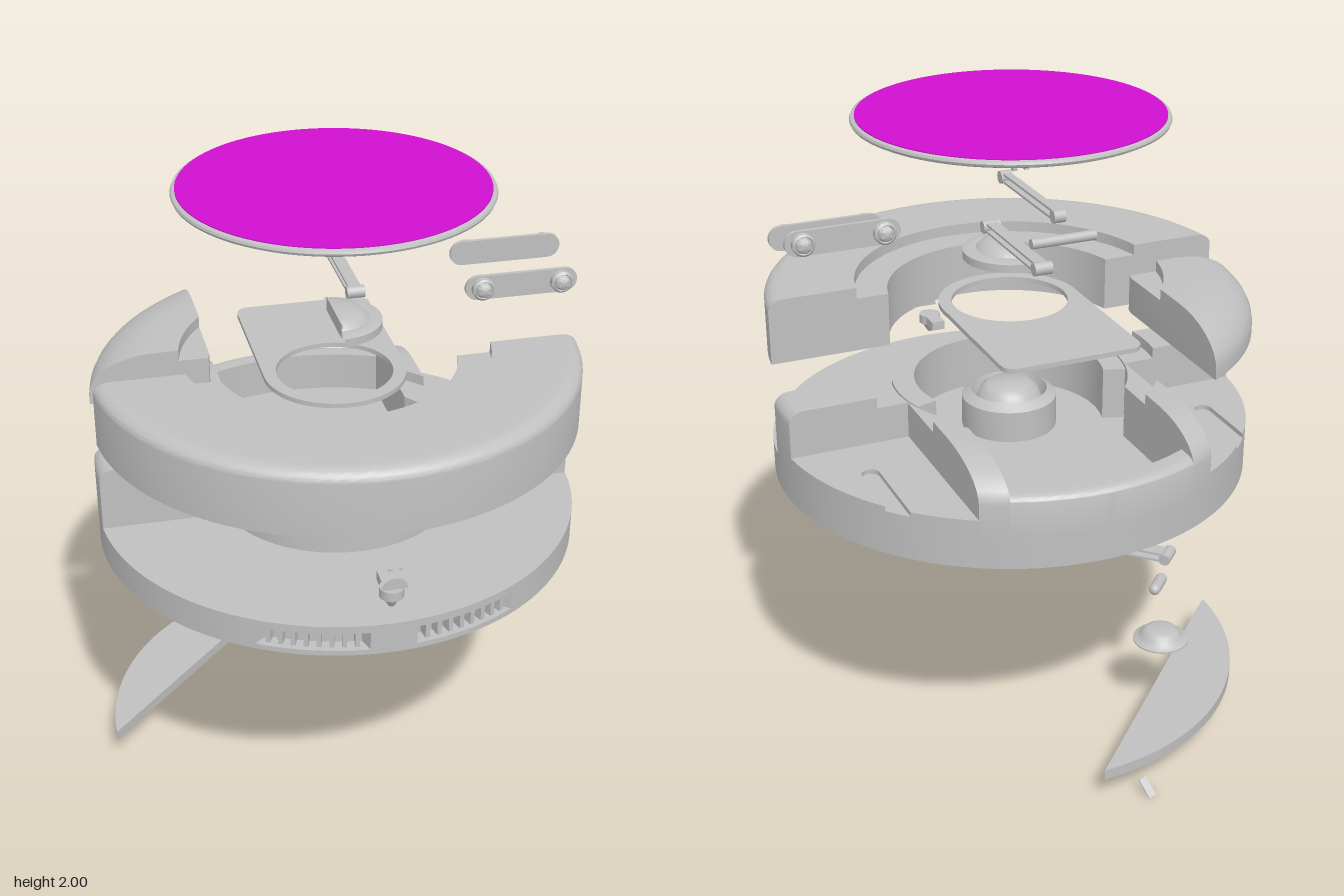
import * as THREE from 'three';
import { toCreasedNormals } from 'three/addons/utils/BufferGeometryUtils.js';

const grey = new THREE.MeshStandardMaterial({ color: 0xc0c0c0 });
grey.name = 'light grey';
const magenta = new THREE.MeshStandardMaterial({ color: 0xd010d0 });
magenta.name = 'magenta';

const { PI, acos, asin, sin, cos } = Math;

function add(parent, name, geo, x = 0, y = 0, z = 0, mat = grey) {
  const m = new THREE.Mesh(geo, mat);
  m.name = name;
  m.position.set(x, y, z);
  parent.add(m);
  return m;
}

// Closed profile [r, y] swept around y; the end angles depend on r, so ends can be flat cuts
function sector(profile, a0, a1, steps = 64) {
  const n = profile.length, pos = [], idx = [];
  for (let i = 0; i <= steps; i++) for (const [r, y] of profile) {
    const t = a0(r) + (a1(r) - a0(r)) * i / steps;
    pos.push(r * sin(t), y, r * cos(t));
  }
  for (let i = 0; i < steps; i++) for (let j = 0; j < n; j++) {
    const k = (j + 1) % n, a = i * n + j, b = i * n + k, d = a + n, c = b + n;
    idx.push(a, d, c, a, c, b);
  }
  const caps = THREE.ShapeUtils.triangulateShape(profile.map(p => new THREE.Vector2(...p)), []);
  const e = steps * n;
  for (const [a, b, c] of caps) idx.push(a, b, c, e + a, e + c, e + b);
  const g = new THREE.BufferGeometry();
  g.setAttribute('position', new THREE.Float32BufferAttribute(pos, 3));
  g.setIndex(idx);
  return toCreasedNormals(g, 0.5);
}

// Housing section with a rounded outer shoulder and a stepped inner seat for the disc
function shell(y0, top, rx, ry, inner = 0.375) {
  const p = [[inner, y0], [0.75, y0]];
  for (let i = 0; i <= 8; i++) {
    const t = i / 8 * PI / 2;
    p.push([0.75 - rx + rx * cos(t), top - ry + ry * sin(t)]);
  }
  if (inner < 0.475) p.push([0.475, top], [0.475, top - 0.035]);
  p.push([inner, inner < 0.475 ? top - 0.035 : top]);
  return p;
}

// Extrude a plan shape (x, -z) from y0 up to y1
function layer(shape, y0, y1) {
  const g = new THREE.ExtrudeGeometry(shape, { depth: y1 - y0, bevelEnabled: false, curveSegments: 48 });
  return toCreasedNormals(g.rotateX(-PI / 2).translate(0, y0, 0), 0.5);
}

function stadium(x0, x1, r, angle = 0, Type = THREE.Shape) {
  const s = new Type(), c = cos(angle), n = sin(angle);
  s.absarc(x1 * c, x1 * n, r, angle - PI / 2, angle + PI / 2);
  s.absarc(x0 * c, x0 * n, r, angle + PI / 2, angle + PI * 1.5);
  s.closePath();
  return s;
}

function dome(r, h, rim, start = 0, sweep = PI * 2) {
  const pts = [[0, 0], [r, 0], [r, rim], [r * 0.8, rim + h * 0.15], [r * 0.72, h * 0.55], [r * 0.6, h * 0.88], [r * 0.45, h], [0, h]];
  return toCreasedNormals(new THREE.LatheGeometry(pts.map(p => new THREE.Vector2(...p)), 32, start, sweep), 0.7);
}

// Slotted link along z with a cross pin at each end
function link(parent, name, len, width) {
  const g = new THREE.Group();
  g.name = name;
  const s = stadium(-len / 2, len / 2, 0.015);
  s.holes.push(stadium(-len / 2 + 0.02, len / 2 - 0.02, 0.008, 0, THREE.Path));
  add(g, 'linkBar', new THREE.ExtrudeGeometry(s, { depth: width * 0.7, bevelEnabled: false }).translate(0, 0, -width * 0.35).rotateY(PI / 2));
  for (const k of [-1, 1])
    add(g, 'linkPin', new THREE.CylinderGeometry(0.019, 0.019, width, 16).rotateZ(PI / 2), 0, 0, k * len / 2);
  parent.add(g);
  return g;
}

export function createModel() {
  const model = new THREE.Group();
  model.name = 'explodedDevice';
  const body = new THREE.Group();
  body.name = 'housing';
  body.position.z = 0.025;
  model.add(body);

  // Round base: slotted underside and a front rim with two recessed vents
  const inVent = a => { const d = Math.abs(a); return d > 0.115 && d < 0.515; };
  const plan = (vents, slots) => {
    const pts = [];
    for (let i = 0; i < 240; i++) {
      const a = (i + 0.5) / 240 * PI * 2 - PI, r = vents && inVent(a) ? 0.705 : 0.75;
      pts.push(new THREE.Vector2(r * sin(a), -r * cos(a)));
    }
    const s = new THREE.Shape(pts);
    if (slots) for (let k = 0; k < 4; k++) s.holes.push(stadium(0.15, 0.55, 0.08, PI / 4 + k * PI / 2, THREE.Path));
    return s;
  };
  add(body, 'baseBottom', layer(plan(false, true), 0.875, 0.892));
  add(body, 'baseRim', layer(plan(true, true), 0.892, 0.95));
  add(body, 'baseFloor', layer(plan(false, false), 0.95, 0.975));
  for (const side of [-1, 1]) for (let i = 0; i < 8; i++) {
    const a = side * (0.14 + i * 0.05);
    add(body, 'ventRib', new THREE.BoxGeometry(0.014, 0.046, 0.04), 0.722 * sin(a), 0.921, 0.722 * cos(a)).rotation.y = a;
  }

  // Central well and boss
  add(body, 'wellWall', sector([[0.3, 0.975], [0.37, 0.975], [0.37, 1.145], [0.3, 1.145]], () => -1.9, () => 1.9));
  add(body, 'centreBoss', dome(0.15, 0.14, 0.1), 0, 0.975);

  // Side blocks, rear rails and side pads, mirrored left and right
  const pair = (name, profile, a0, a1, steps) => {
    add(body, name, sector(profile, a0, a1, steps));
    add(body, name, sector(profile, r => -a1(r), r => -a0(r), steps));
  };
  pair('sideBlock', shell(0.975, 1.18, 0.05, 0.04), r => acos(0.07 / r), r => acos(-0.08 / r), 12);
  pair('rearRail', shell(0.975, 1.18, 0.2, 0.1), r => PI - asin(0.37 / r), r => PI - asin(0.29 / r), 12);
  pair('padBase', [[0.385, 0.975], [0.75, 0.975], [0.75, 1.015], [0.385, 1.015]],
    r => acos(-0.08 / r), r => PI - asin(0.37 / r), 40);
  for (const side of [-1, 1]) {
    const pts = [[0.37, 0.08]];
    const arc = (t0, t1) => { for (let i = 0; i <= 16; i++) { const t = t0 + (t1 - t0) * i / 16; pts.push([0.75 * cos(t), 0.75 * sin(t)]); } };
    arc(asin(0.08 / 0.75), acos(0.585 / 0.75));
    for (let i = 0; i <= 8; i++) pts.push([0.5575 + 0.0275 * cos(i * PI / 8), 0.265 - 0.0275 * sin(i * PI / 8)]);
    arc(acos(0.53 / 0.75), acos(0.37 / 0.75));
    add(body, 'slottedPad', layer(new THREE.Shape(pts.map(([x, y]) => new THREE.Vector2(side * x, y))), 1.015, 1.03));
  }
  // Low rear lip closing the pocket
  add(body, 'rearLip', sector(shell(0.975, 1.105, 0.03, 0.02, 0.68), r => PI - asin(0.292 / r), r => PI + asin(0.292 / r), 32));

  // Lifted front half ring and rear wing
  add(body, 'frontRing', sector(shell(1.275, 1.48, 0.05, 0.035), r => -acos(0.075 / r), r => acos(0.075 / r), 96));
  add(body, 'rearWing', sector(shell(1.33, 1.48, 0.2, 0.12, 0.385), r => PI + asin(0.37 / r), r => 2 * PI - acos(-0.08 / r), 40));
  add(body, 'wingTab', new THREE.BoxGeometry(0.05, 0.02, 0.16), -0.555, 1.322, -0.315);

  // Covering disc with coloured face
  const disc = [[0, 1.975], [0.462, 1.975], [0.472, 1.98], [0.475, 1.987], [0.472, 1.994], [0.464, 1.997], [0, 1.997]];
  add(model, 'topDisc', toCreasedNormals(new THREE.LatheGeometry(disc.map(p => new THREE.Vector2(...p)), 96), 0.7), 0, 0, 0.01);
  add(model, 'discFace', new THREE.CylinderGeometry(0.461, 0.461, 0.004, 96), 0, 1.998, 0.008, magenta);

  // Thin sliding plate with round opening
  const plate = new THREE.Shape();
  plate.absarc(0, -0.02, 0.22, PI, PI * 2);
  plate.absarc(0.18, 0.43, 0.04, 0, PI / 2);
  plate.absarc(-0.18, 0.43, 0.04, PI / 2, PI);
  plate.closePath();
  plate.holes.push(new THREE.Path().absarc(0, -0.02, 0.18, 0, PI * 2));
  add(model, 'slidingPlate', layer(plate, 1.385, 1.4));

  // Curved arm with legs
  const arm = sector([[0.115, 1.9], [0.148, 1.9], [0.148, 1.92], [0.115, 1.92]], () => PI / 2, () => PI, 24);
  add(model, 'curvedArm', arm, 0, 0, 0.005);
  for (const x of [0.008, 0.045]) add(model, 'armLeg', new THREE.BoxGeometry(0.014, 0.04, 0.014), x, 1.882, -0.122);

  // Upper links, axle and half dome
  link(model, 'upperLink', 0.38, 0.036).position.set(0.018, 1.8, -0.18);
  link(model, 'lowerLink', 0.38, 0.055).position.set(0.066, 1.65, -0.18);
  add(model, 'axle', new THREE.CylinderGeometry(0.015, 0.015, 0.2, 16).rotateZ(PI / 2), 0, 1.727, -0.368);
  add(model, 'halfDome', dome(0.147, 0.055, 0.025, 0, PI), 0, 1.545, 0.012);
  add(model, 'halfDomeWall', new THREE.BoxGeometry(0.004, 0.045, 0.2), 0.002, 1.572, 0.012);

  // Two hinge plates, each with a pair of knobs facing outwards
  for (const [y, z, turn] of [[1.67, 0.1, 0], [1.71, -0.055, PI]]) {
    const hinge = new THREE.Group();
    hinge.name = 'hingePlate';
    hinge.position.set(0.555, y, z);
    hinge.rotation.y = turn;
    add(hinge, 'plate', new THREE.ExtrudeGeometry(stadium(-0.137, 0.137, 0.038), { depth: 0.013, bevelEnabled: false }));
    for (const x of [-0.123, 0.123]) {
      add(hinge, 'knob', dome(0.034, 0.035, 0.018).rotateX(PI / 2), x, 0, 0.011);
    }
    model.add(hinge);
  }

  // Front push button with indicator flap and dots
  add(model, 'buttonStem', new THREE.BoxGeometry(0.045, 0.03, 0.1), 0, 1.06, 0.7);
  add(model, 'buttonHead', new THREE.CylinderGeometry(0.036, 0.036, 0.03, 24), 0, 1.06, 0.735);
  add(model, 'buttonTip', new THREE.CylinderGeometry(0.03, 0.008, 0.035, 24), 0, 1.028, 0.735);
  const flap = new THREE.Shape().absarc(0, 0, 0.037, 0, PI);
  add(model, 'indicatorFlap', new THREE.ExtrudeGeometry(flap, { depth: 0.004, bevelEnabled: false }), 0, 1.09, 0.77);
  for (const x of [-0.014, 0.014]) add(model, 'indicatorDot', new THREE.BoxGeometry(0.012, 0.006, 0.004), x, 1.157, 0.772);

  // Parts below the base, strung along a diagonal
  add(model, 'upperFoot', dome(0.09, 0.045, 0.005).rotateX(PI), -0.1, 0.77, -0.075);
  const rod = add(model, 'shortRod', new THREE.CapsuleGeometry(0.018, 0.2, 6, 16).rotateX(PI / 2), -0.2, 0.672, -0.1);
  rod.rotation.y = PI / 4;
  const leg = link(model, 'diagonalLink', 0.42, 0.07);
  leg.position.set(-0.235, 0.598, -0.215);
  leg.rotation.y = PI / 4;
  const block = add(model, 'pivotBlock', new THREE.CapsuleGeometry(0.019, 0.07, 6, 16).rotateZ(PI / 2), -0.395, 0.447, -0.29);
  block.rotation.y = PI / 4;
  add(model, 'lowerFoot', dome(0.09, 0.04, 0.005), -0.38, 0.275, -0.35);

  // Quarter cover and small loose strip
  const quarter = new THREE.Shape().moveTo(0, 0).absarc(0, 0, 0.75, PI / 2, PI).closePath ? new THREE.Shape() : null;
  quarter.moveTo(0, 0);
  quarter.absarc(0, 0, 0.75, PI / 2, PI);
  quarter.closePath();
  add(body, 'quarterCover', layer(quarter, 0.085, 0.12));
  const strip = add(model, 'looseStrip', new THREE.BoxGeometry(0.026, 0.064, 0.004), -0.14, 0.025, -0.743);
  strip.rotation.set(0.75, 0, -0.25);

  return model;
}
